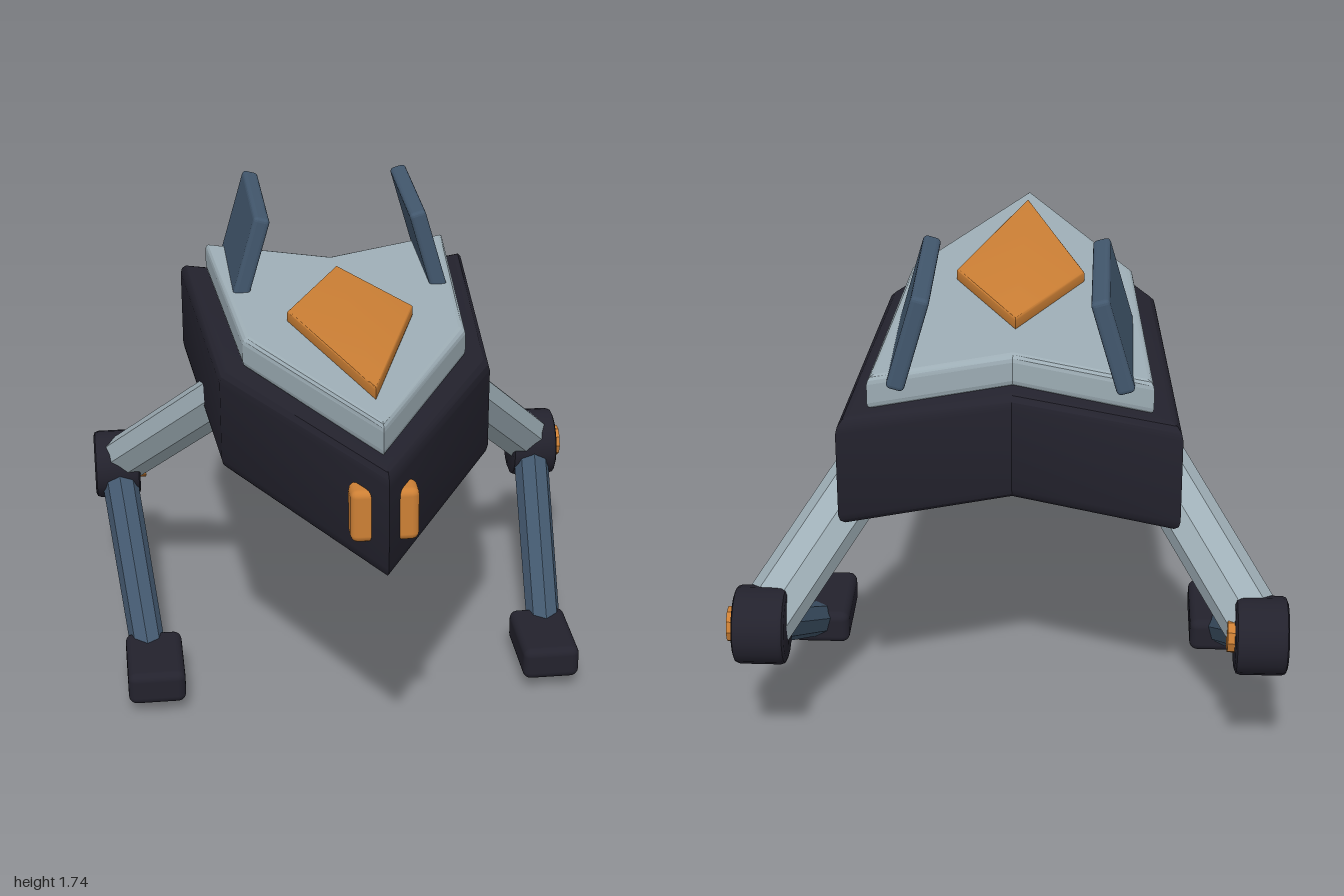
import * as THREE from 'three';
import { toCreasedNormals } from 'three/addons/utils/BufferGeometryUtils.js';
import { RoundedBoxGeometry } from 'three/addons/geometries/RoundedBoxGeometry.js';

const mat = (name, color, flatShading = false) => {
  const m = new THREE.MeshStandardMaterial({ color, flatShading });
  m.name = name;
  return m;
};

export function createModel() {
  const dark = mat('dark armour', 0x23222d);
  const grey = mat('pale grey armour', 0x9fafb7, true);
  const blue = mat('slate blue metal', 0x42576d, true);
  const orange = mat('orange accent', 0xcd8035);

  const model = new THREE.Group();
  model.name = 'walker';
  const body = new THREE.Group();
  body.name = 'body';
  body.position.x = -0.015;
  model.add(body);

  const add = (parent, name, geometry, material, x = 0, y = 0, z = 0) => {
    const mesh = new THREE.Mesh(geometry, material);
    mesh.name = name;
    mesh.position.set(x, y, z);
    parent.add(mesh);
    return mesh;
  };

  // Bevelled horizontal slab; outline is given as [x, z] points on the +x half, nose to tail
  const slab = (half, y0, y1, bevel) => {
    const mirrored = half.slice(1, -1).reverse().map(([x, z]) => [-x, z]);
    const shape = new THREE.Shape([...half, ...mirrored].map(([x, z]) => new THREE.Vector2(x, -z)));
    const g = new THREE.ExtrudeGeometry(shape, {
      depth: y1 - y0 - 2 * bevel, bevelEnabled: true, bevelSize: bevel,
      bevelThickness: bevel, bevelOffset: -bevel, bevelSegments: 3,
    });
    g.rotateX(-Math.PI / 2);
    g.translate(0, y0 + bevel, 0);
    return toCreasedNormals(g, 0.45);
  };

  // Arrowhead hull, deck plate and diamond emblem panel
  add(body, 'hull', slab([[0, 0.995], [0.474, 0.12], [0.55, -0.955], [0, -0.75]], 0.975, 1.355, 0.045), dark);
  add(body, 'deckPlate', slab([[0, 0.86], [0.39, 0.09], [0.457, -0.86], [0, -0.67]], 1.35, 1.465, 0.025), grey);
  add(body, 'diamondPanel', slab([[0, 0.66], [0.222, -0.04], [0, -0.46]], 1.46, 1.505, 0.01), orange);

  // Eight-sided strut between two points, flattened across its depth
  const strut = (parent, name, from, to, r0, r1, flat, material) => {
    const dir = from.clone().sub(to);
    const g = new THREE.CylinderGeometry(r0, r1, dir.length(), 8);
    g.scale(1, 1, flat);
    const mesh = add(parent, name, g, material);
    mesh.position.copy(from).add(to).multiplyScalar(0.5);
    mesh.quaternion.setFromUnitVectors(new THREE.Vector3(0, 1, 0), dir.normalize());
  };

  // Knee drum with chamfered rims, axis along x
  const kneeProfile = [[0, -0.088], [0.112, -0.088], [0.127, -0.082], [0.132, -0.068],
    [0.132, 0.068], [0.127, 0.082], [0.112, 0.088], [0, 0.088]].map(([r, y]) => new THREE.Vector2(r, y));
  const kneeGeometry = toCreasedNormals(new THREE.LatheGeometry(kneeProfile, 18).rotateZ(-Math.PI / 2), 0.6);
  const capGeometry = toCreasedNormals(new THREE.CylinderGeometry(0.06, 0.06, 0.08, 10).rotateZ(-Math.PI / 2), 0.3);
  const hipGeometry = new THREE.CylinderGeometry(0.145, 0.145, 0.21, 12).rotateZ(Math.PI / 2);

  for (const [side, s] of [['left', 1], ['right', -1]]) {
    // Inward-leaning tail fin
    const fin = add(body, side + 'Fin', new RoundedBoxGeometry(0.06, 0.33, 0.54, 2, 0.015), blue, s * 0.324, 1.583, -0.597);
    fin.rotation.z = s * 0.28;

    // Nose light
    add(body, side + 'NoseLight', new RoundedBoxGeometry(0.1, 0.185, 0.1, 2, 0.025), orange, s * 0.062, 1.165, 0.86);

    // Backward-bent leg
    const leg = new THREE.Group();
    leg.name = side + 'Leg';
    body.add(leg);
    const hip = new THREE.Vector3(s * 0.38, 1.1, -0.325);
    const knee = new THREE.Vector3(s * 0.833, 0.55, -0.867);
    const ankle = new THREE.Vector3(s * 0.745, 0.06, -0.01);
    add(leg, 'hip', hipGeometry, blue, hip.x, hip.y, hip.z);
    strut(leg, 'thigh', hip, knee, 0.103, 0.103, 0.79, grey);
    add(leg, 'knee', kneeGeometry, dark, knee.x, knee.y, knee.z);
    add(leg, 'kneeCap', capGeometry, orange, knee.x + 0.072, knee.y, knee.z);
    strut(leg, 'shin', knee, ankle, 0.07, 0.064, 1, blue);
    add(leg, 'foot', new RoundedBoxGeometry(0.21, 0.125, 0.335, 3, 0.03), dark, s * 0.735, 0.112, -0.01);
  }
  return model;
}
